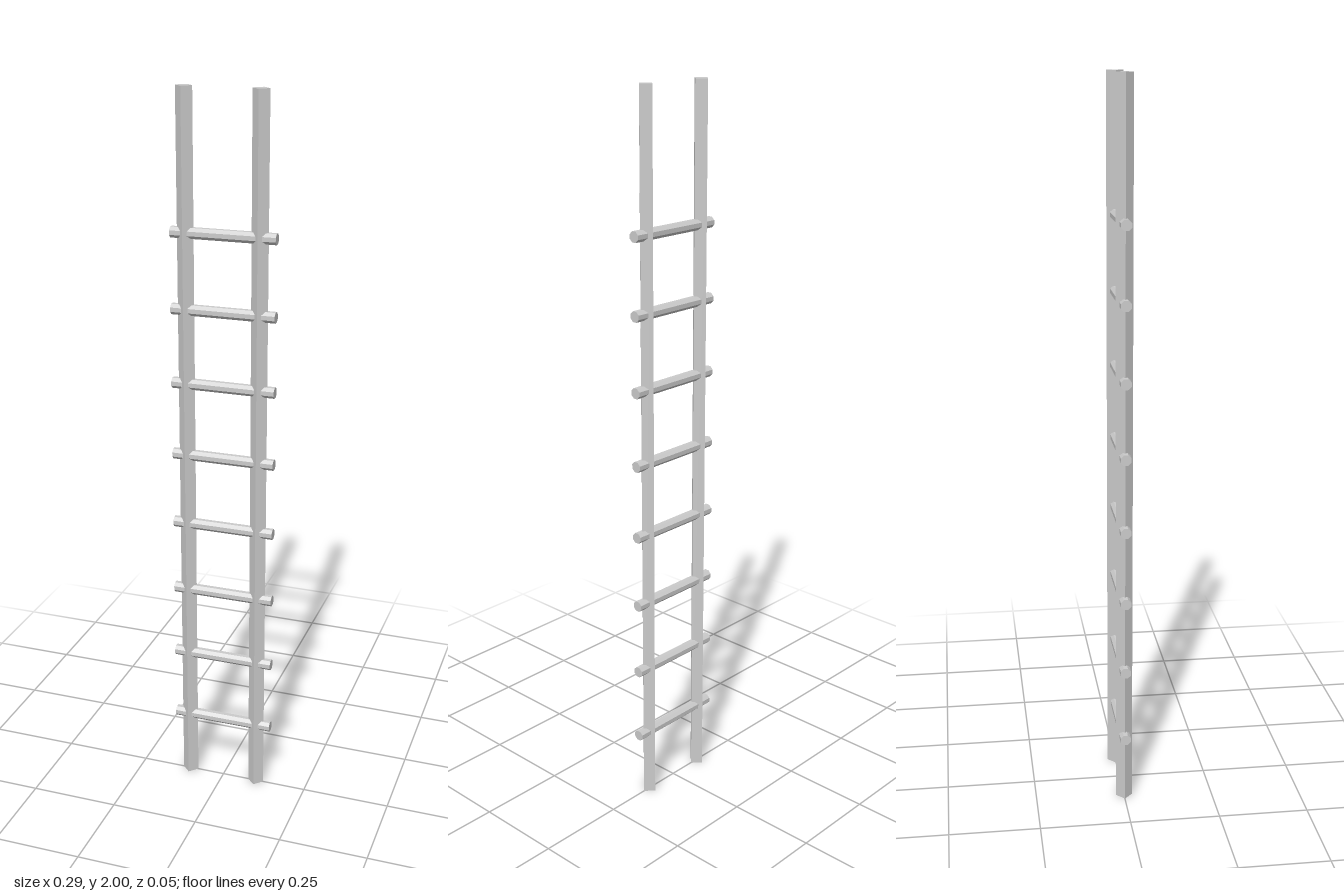
import * as THREE from 'three';

const material = new THREE.MeshStandardMaterial({ color: 0xcccccc, flatShading: true });

// Square pole turned edge-on to the front, leaning slightly from bottomX to topX
function makePole(name, bottomX, topX) {
  const geometry = new THREE.CylinderGeometry(0.023, 0.023, 2, 4);
  geometry.translate(0, 1, 0);
  const p = geometry.attributes.position;
  for (let i = 0; i < p.count; i++) {
    p.setX(i, p.getX(i) + THREE.MathUtils.lerp(bottomX, topX, p.getY(i) / 2));
  }
  const pole = new THREE.Mesh(geometry, material);
  pole.name = name;
  return pole;
}

export function createModel() {
  const ladder = new THREE.Group();
  ladder.name = 'ladder';

  // Side poles
  ladder.add(makePole('leftPole', 0.101, 0.098), makePole('rightPole', -0.103, -0.105));

  // Rungs pass through both poles and stick out a little
  const rungGeometry = new THREE.CylinderGeometry(0.0155, 0.0155, 0.288, 8);
  rungGeometry.rotateY(Math.PI / 8);
  rungGeometry.rotateZ(Math.PI / 2);
  for (let i = 0; i < 8; i++) {
    const rung = new THREE.Mesh(rungGeometry, material);
    rung.name = `rung${i + 1}`;
    rung.position.y = 0.195 + i * 0.205;
    ladder.add(rung);
  }
  return ladder;
}
